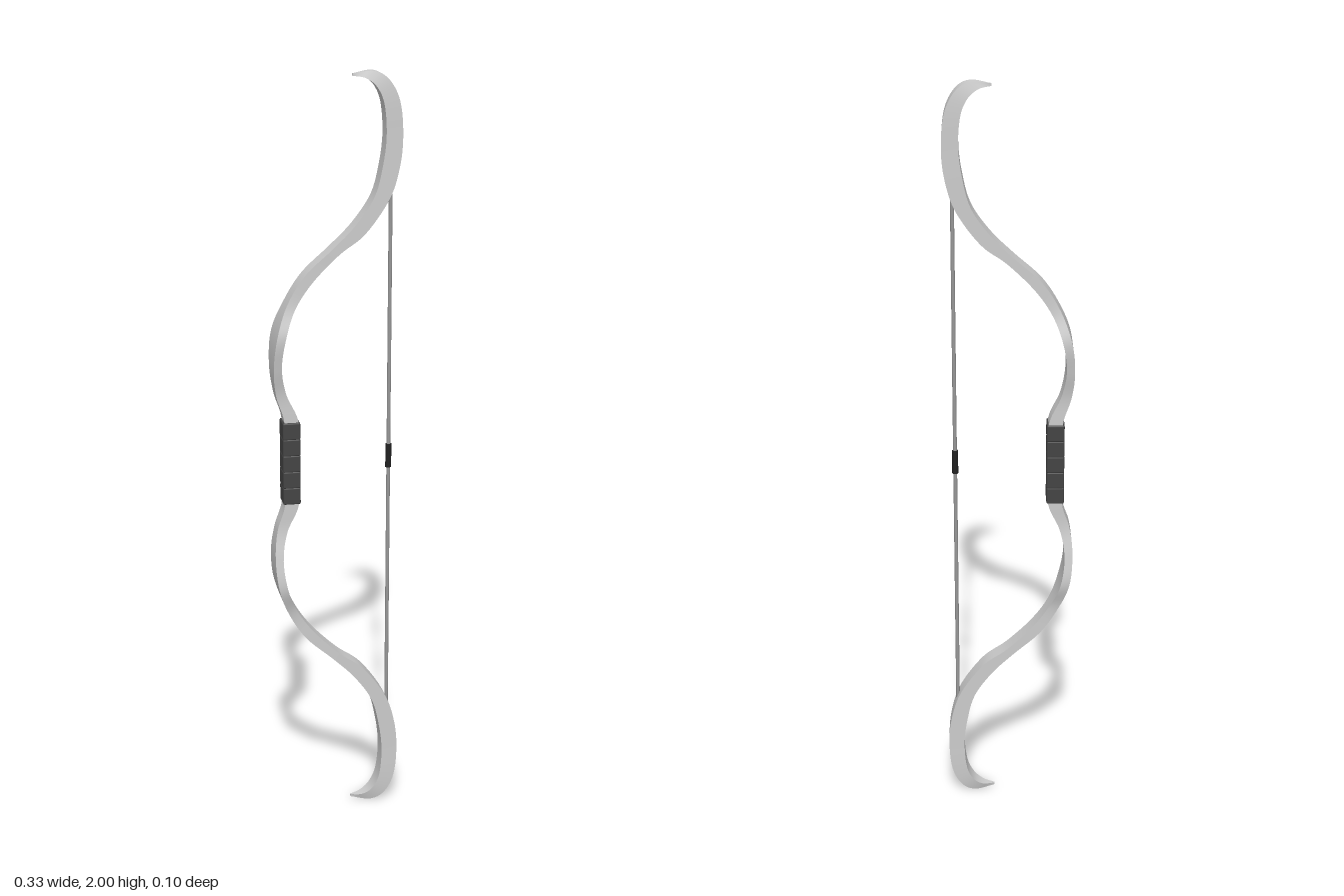
import * as THREE from 'three';
import { RoundedBoxGeometry } from 'three/addons/geometries/RoundedBoxGeometry.js';

// Upper half of the bow: [outer x, outer y, inner x, inner y, half width]
const HALF = [
  [-0.14, 1.11, -0.103, 1.11, 0.024],
  [-0.161, 1.183, -0.135, 1.188, 0.025],
  [-0.169, 1.257, -0.148, 1.262, 0.04],
  [-0.161, 1.341, -0.138, 1.341, 0.05],
  [-0.132, 1.421, -0.111, 1.41, 0.029],
  [-0.085, 1.495, -0.066, 1.476, 0.025],
  [-0.013, 1.561, 0.003, 1.545, 0.025],
  [0.045, 1.619, 0.069, 1.595, 0.025],
  [0.093, 1.69, 0.13, 1.68, 0.025],
  [0.114, 1.77, 0.156, 1.759, 0.025],
  [0.122, 1.844, 0.164, 1.839, 0.025],
  [0.116, 1.918, 0.156, 1.923, 0.025],
  [0.098, 1.96, 0.13, 1.976, 0.022],
  [0.071, 1.981, 0.093, 1.998, 0.014],
  [0.04, 1.986, 0.04, 1.992, 0.002],
];

// Sweep a four-sided section between two edge curves; each side keeps its own normals
function sweptLimb(rows, segments) {
  const curve = (ix) => new THREE.CatmullRomCurve3(
    rows.map((r) => new THREE.Vector3(r[ix], r[ix + 1], r[4])), false, 'catmullrom', 0.5);
  const outer = curve(0), inner = curve(2);
  const rings = [];
  for (let i = 0; i <= segments; i++) {
    const a = outer.getPoint(i / segments), b = inner.getPoint(i / segments);
    rings.push([[a.x, a.y, a.z], [b.x, b.y, b.z], [b.x, b.y, -b.z], [a.x, a.y, -a.z]]);
  }
  const pos = [], index = [];
  for (let k = 0; k < 4; k++) {
    const base = pos.length / 3;
    rings.forEach((r, i) => {
      pos.push(...r[k], ...r[(k + 1) % 4]);
      if (i === segments) return;
      const n = base + i * 2;
      index.push(n, n + 1, n + 3, n, n + 3, n + 2);
    });
  }
  // End caps
  for (const ring of [rings[segments], [...rings[0]].reverse()]) {
    const n = pos.length / 3;
    pos.push(...ring.flat());
    index.push(n, n + 1, n + 2, n, n + 2, n + 3);
  }
  const geo = new THREE.BufferGeometry();
  geo.setAttribute('position', new THREE.Float32BufferAttribute(pos, 3));
  geo.setIndex(index);
  geo.computeVertexNormals();
  return geo;
}

export function createModel() {
  const group = new THREE.Group();
  const grey = new THREE.MeshStandardMaterial({ color: 0xcccccc });
  const leather = new THREE.MeshStandardMaterial({ color: 0x444444 });
  const cord = new THREE.MeshStandardMaterial({ color: 0x999999 });
  const dark = new THREE.MeshStandardMaterial({ color: 0x222222 });

  const add = (name, geo, mat, x, y, parent = group) => {
    const mesh = new THREE.Mesh(geo, mat);
    mesh.name = name;
    mesh.position.set(x, y, 0);
    parent.add(mesh);
    return mesh;
  };

  // Bow stave: mirrored lower limb, straight middle, upper limb
  const lower = HALF.map(([ax, ay, bx, by, w]) => [ax, 2 - ay, bx, 2 - by, w]).reverse();
  const rows = [...lower, [-0.14, 1, -0.103, 1, 0.024], ...HALF];
  add('bowLimbs', sweptLimb(rows, 180), grey, 0, 0);

  // Grip wrapped in overlapping bands
  const grip = new THREE.Group();
  grip.name = 'grip';
  group.add(grip);
  const bands = 5, pitch = 0.22 / bands;
  for (let i = 0; i < bands; i++) {
    add('gripBand', new RoundedBoxGeometry(0.046, pitch + 0.002, 0.056, 2, 0.004),
      leather, -0.122, 0.89 + pitch * (i + 0.5), grip);
  }

  // Bowstring with its centre serving
  add('bowstring', new THREE.CylinderGeometry(0.005, 0.005, 1.43, 8), cord, 0.139, 1);
  add('stringServing', new THREE.CylinderGeometry(0.008, 0.008, 0.064, 8), dark, 0.139, 1);
  return group;
}
